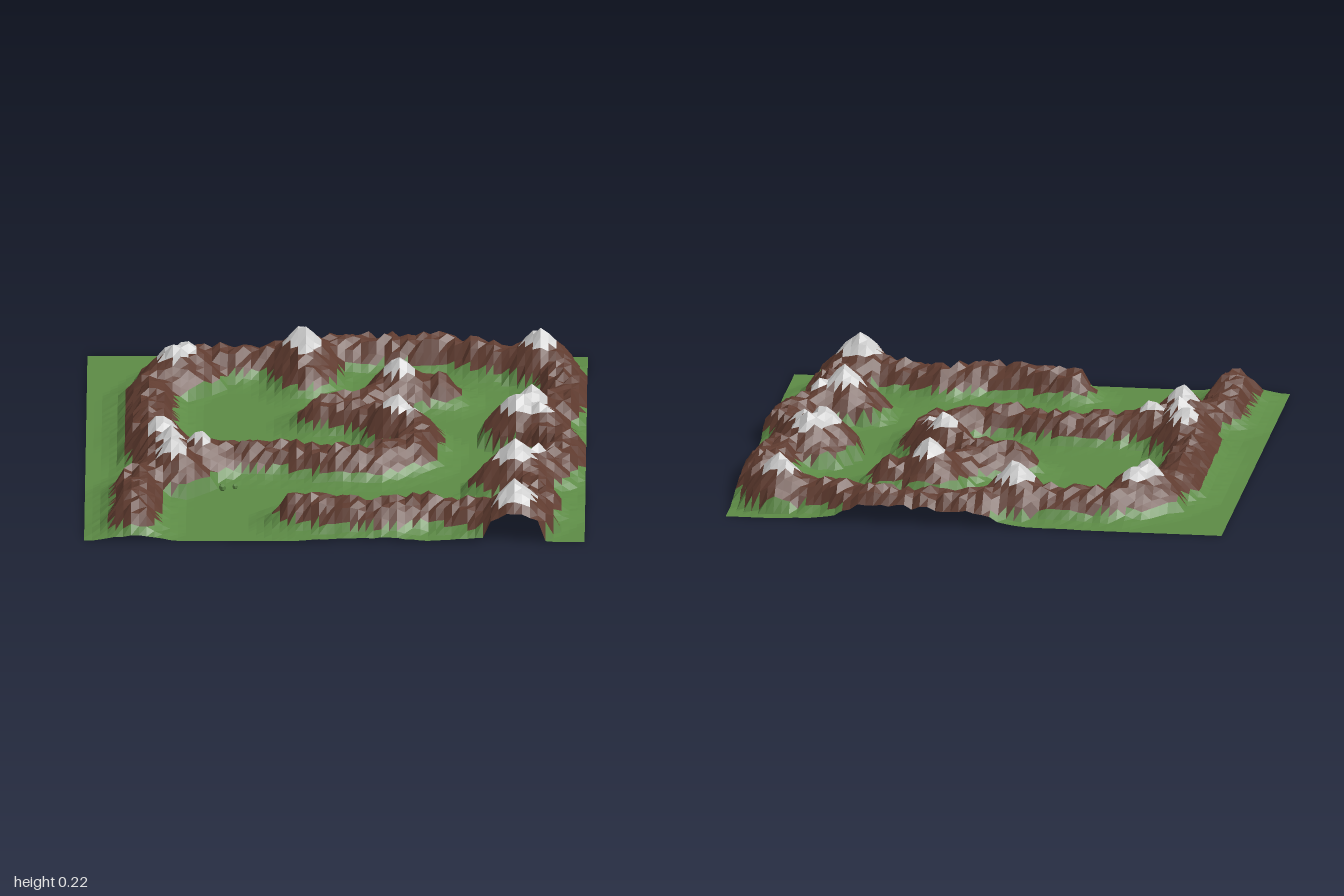
import * as THREE from 'three';

const CELLS = 64;

// Ridge lines as [x, z] points
const RIDGES = [
  // long outer ridge, from the front left round the back to the front centre
  [[-0.8, 0.88], [-0.79, 0.7], [-0.79, 0.52], [-0.7, 0.35], [-0.72, 0.15], [-0.75, -0.05], [-0.74, -0.3],
    [-0.74, -0.5], [-0.65, -0.68], [-0.52, -0.79], [-0.35, -0.81], [-0.15, -0.81], [0, -0.91], [0.2, -0.92],
    [0.45, -0.92], [0.6, -0.84], [0.8, -0.8], [0.89, -0.68], [0.91, -0.42], [0.87, -0.25], [0.77, -0.12],
    [0.84, 0.02], [0.92, 0.15], [0.88, 0.3], [0.74, 0.42], [0.78, 0.55], [0.81, 0.7], [0.73, 0.85],
    [0.58, 0.86], [0.37, 0.8], [0.2, 0.86], [0, 0.84], [-0.14, 0.8]],
  // inner winding ridge
  [[0.4, -0.5], [0.25, -0.48], [0.1, -0.31], [-0.06, -0.24], [0.08, -0.21], [0.24, -0.11], [0.33, 0.03],
    [0.3, 0.18], [0.15, 0.27], [0, 0.28], [-0.2, 0.22], [-0.4, 0.23], [-0.6, 0.27], [-0.7, 0.3]],
  // short back spur
  [[-0.13, -0.81], [-0.13, -0.64]],
];

// Snowy summits as [x, z, height]
const PEAKS = [
  [-0.65, -0.64, 0.21], [-0.6, -0.7, 0.2], [-0.14, -0.79, 0.23], [-0.13, -0.7, 0.19], [0.25, -0.48, 0.215],
  [0.24, -0.1, 0.21], [0.3, -0.04, 0.18], [0.81, -0.79, 0.22], [0.78, -0.18, 0.21], [0.73, -0.1, 0.22],
  [0.82, -0.07, 0.19], [0.72, 0.43, 0.23], [0.81, 0.37, 0.18], [0.65, 0.46, 0.165], [0.72, 0.89, 0.235],
  [-0.7, 0.13, 0.21], [-0.66, 0.25, 0.2], [-0.54, 0.26, 0.19], [-0.65, 0.39, 0.215],
];

// Cross-section of a ridge: [distance from its line, height]
const SLOPE = [[0, 0.122], [0.05, 0.108], [0.09, 0.055], [0.13, 0.018], [0.2, 0]];

// Repeatable value from -1 to 1 for a grid point
function rough(i, j) {
  const s = Math.sin(i * 127.1 + j * 311.7) * 43758.5453;
  return 2 * (s - Math.floor(s)) - 1;
}

function segmentDistance(x, z, [ax, az], [bx, bz]) {
  const dx = bx - ax, dz = bz - az;
  const t = THREE.MathUtils.clamp(((x - ax) * dx + (z - az) * dz) / (dx * dx + dz * dz), 0, 1);
  return Math.hypot(x - ax - t * dx, z - az - t * dz);
}

function slopeHeight(d) {
  for (let k = 1; k < SLOPE.length; k++) {
    const [d0, h0] = SLOPE[k - 1], [d1, h1] = SLOPE[k];
    if (d < d1) return h0 + (h1 - h0) * (d - d0) / (d1 - d0);
  }
  return 0;
}

function terrainHeight(i, j) {
  const x = -1 + 2 * i / CELLS, z = -1 + 2 * j / CELLS;
  let d = Infinity;
  for (const line of RIDGES) {
    for (let k = 1; k < line.length; k++) d = Math.min(d, segmentDistance(x, z, line[k - 1], line[k]));
  }
  // rugged ridges fading into flat ground
  let h = slopeHeight(d) * (1 + 0.17 * rough(i, j));
  for (const [px, pz, top] of PEAKS) {
    const r = Math.hypot(x - px, z - pz);
    if (r < 0.16) h = Math.max(h, top - r * 1.05 + 0.008 * rough(j, i));
  }
  return Math.max(0, h);
}

function createTerrain() {
  const points = [];
  for (let j = 0; j <= CELLS; j++) {
    for (let i = 0; i <= CELLS; i++) {
      points.push([-1 + 2 * i / CELLS, terrainHeight(i, j), -1 + 2 * j / CELLS]);
    }
  }
  // sort each triangle into a band by its mean height
  const bands = { grass: [], rockSlopes: [], snowCaps: [] };
  const addFace = (a, b, c) => {
    const y = (a[1] + b[1] + c[1]) / 3;
    const band = y > 0.146 ? 'snowCaps' : y > 0.047 ? 'rockSlopes' : 'grass';
    bands[band].push(...a, ...b, ...c);
  };
  for (let j = 0; j < CELLS; j++) {
    for (let i = 0; i < CELLS; i++) {
      const n = j * (CELLS + 1) + i;
      const a = points[n], b = points[n + 1], c = points[n + CELLS + 1], d = points[n + CELLS + 2];
      addFace(a, c, b);
      addFace(b, c, d);
    }
  }
  return bands;
}

export function createModel() {
  const model = new THREE.Group();
  model.name = 'mountainTerrain';
  const colors = { grass: 0x5c8a45, rockSlopes: 0x5f3b2f, snowCaps: 0xcccccc };
  const materials = {};

  // Ground, rock and snow surfaces
  for (const [name, positions] of Object.entries(createTerrain())) {
    const geometry = new THREE.BufferGeometry();
    geometry.setAttribute('position', new THREE.Float32BufferAttribute(positions, 3));
    geometry.computeVertexNormals();
    materials[name] = new THREE.MeshStandardMaterial({
      color: colors[name], flatShading: true, side: THREE.DoubleSide,
    });
    const mesh = new THREE.Mesh(geometry, materials[name]);
    mesh.name = name;
    model.add(mesh);
  }

  // Small stones on the grass
  for (const [x, z, size] of [[-0.45, 0.46, 0.016], [-0.4, 0.44, 0.012]]) {
    const stone = new THREE.Mesh(new THREE.DodecahedronGeometry(size), materials.grass);
    stone.name = 'stone';
    stone.position.set(x, size, z);
    model.add(stone);
  }
  return model;
}
